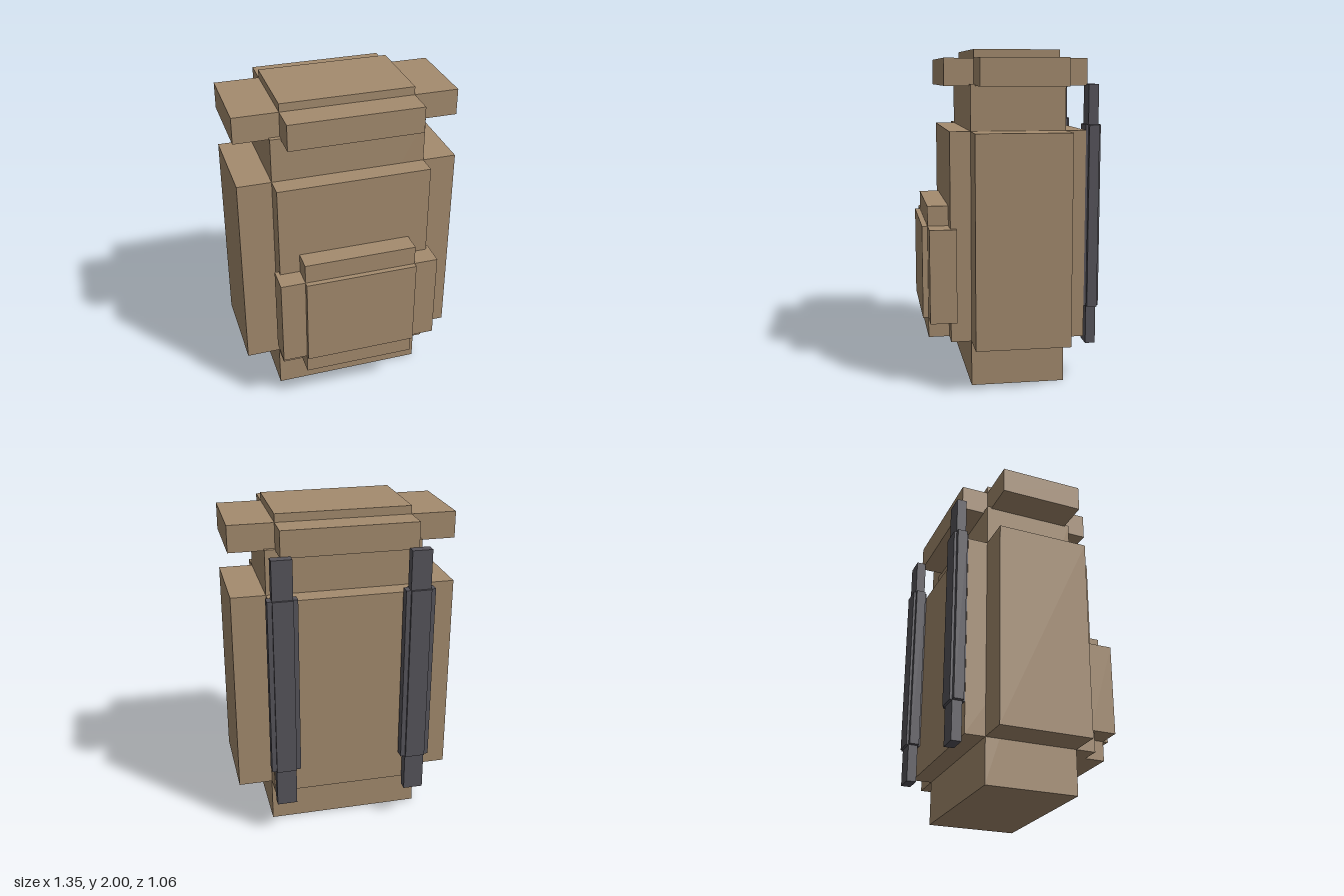
import * as THREE from 'three';

const canvas = new THREE.MeshStandardMaterial({ color: 0xa48b6e });
canvas.name = 'tan canvas';
const webbing = new THREE.MeshStandardMaterial({ color: 0x56545b });
webbing.name = 'dark webbing';

// Box given by its extents along x, y and z
function block(name, material, [x0, x1], [y0, y1], [z0, z1]) {
  const mesh = new THREE.Mesh(new THREE.BoxGeometry(x1 - x0, y1 - y0, z1 - z0), material);
  mesh.position.set((x0 + x1) / 2, (y0 + y1) / 2, (z0 + z1) / 2);
  mesh.name = name;
  return mesh;
}

// Stepped block: three crossing boxes, each long on one axis.
// Every axis has an inner range and an outer range.
function stepped(name, material, inner, outer) {
  const group = new THREE.Group();
  group.name = name;
  ['Wide', 'Tall', 'Deep'].forEach((label, axis) => {
    const ranges = inner.map((range, i) => (i === axis ? outer[i] : range));
    group.add(block(name + label, material, ...ranges));
  });
  return group;
}

export function createModel() {
  const model = new THREE.Group();
  model.name = 'backpack';

  // Main bag
  model.add(stepped('body', canvas,
    [[-0.468, 0.468], [0.275, 1.53], [-0.315, 0.248]],
    [[-0.674, 0.674], [0, 1.8], [-0.438, 0.37]]));

  // Top flap
  model.add(stepped('lid', canvas,
    [[-0.403, 0.403], [1.79, 1.95], [-0.29, 0.22]],
    [[-0.674, 0.674], [1.79, 2], [-0.458, 0.395]]));

  // Front pocket
  model.add(stepped('frontPocket', canvas,
    [[-0.345, 0.345], [0.397, 0.96], [0.335, 0.495]],
    [[-0.494, 0.494], [0.275, 1.08], [0.335, 0.528]]));

  // Shoulder straps on the back
  for (const side of [-1, 1]) {
    const range = (a, b) => (side > 0 ? [a, b] : [-b, -a]);
    model.add(stepped(side > 0 ? 'leftStrap' : 'rightStrap', webbing,
      [range(0.344, 0.465), [0.465, 1.563], [-0.513, -0.453]],
      [range(0.316, 0.493), [0.228, 1.8], [-0.528, -0.438]]));
  }
  return model;
}
